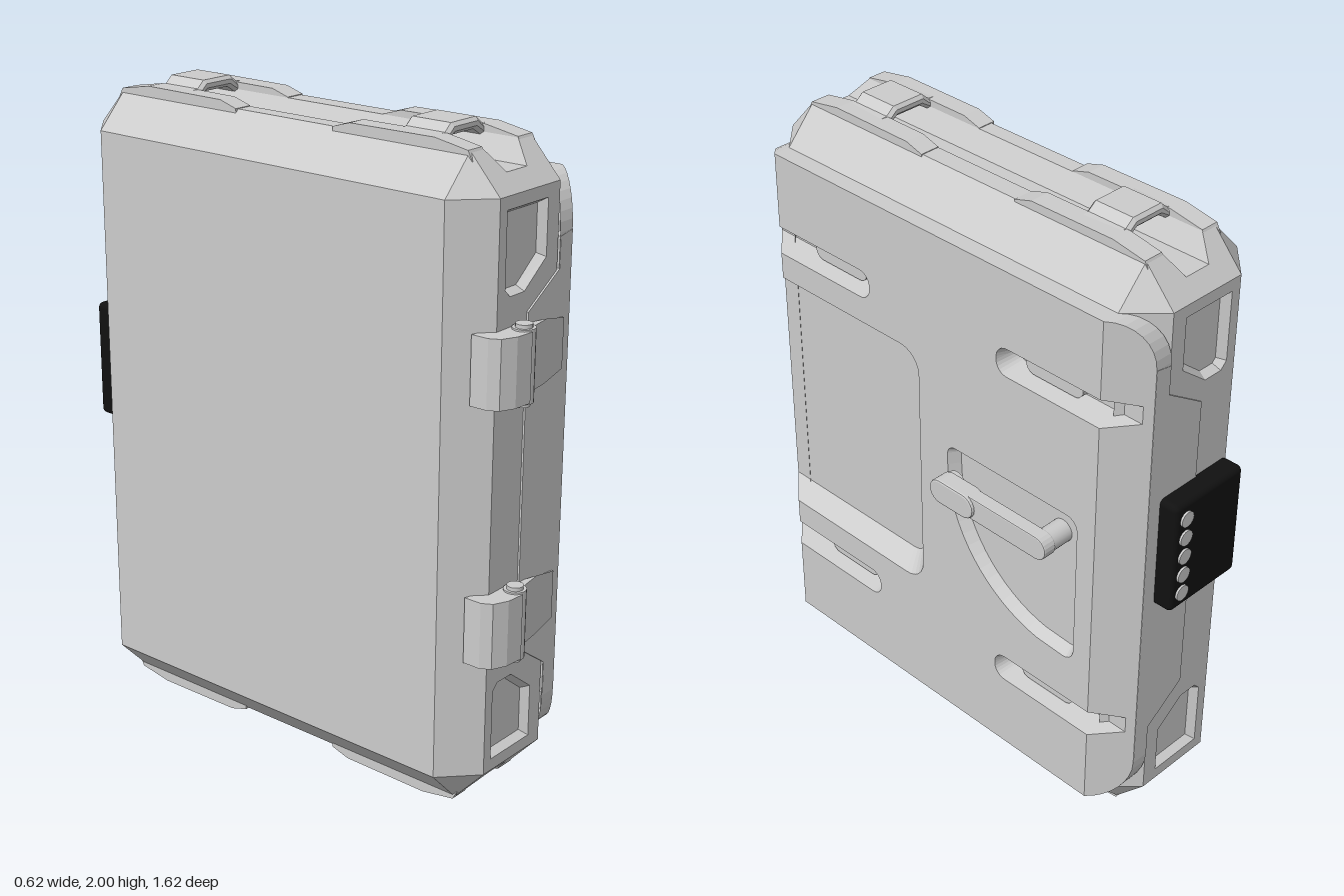
import * as THREE from 'three';
import { ConvexGeometry } from 'three/addons/geometries/ConvexGeometry.js';
import { RoundedBoxGeometry } from 'three/addons/geometries/RoundedBoxGeometry.js';

const flat = new THREE.MeshStandardMaterial({ color: 0xcccccc, flatShading: true, side: THREE.DoubleSide });
const smooth = new THREE.MeshStandardMaterial({ color: 0xcccccc });
const black = new THREE.MeshStandardMaterial({ color: 0x111111 });

const V = (x, y, z) => new THREE.Vector3(x, y, z);
const toShape = (pts) => new THREE.Shape(pts.map(([a, b]) => new THREE.Vector2(a, b)));

function add(parent, name, geo, mat = flat) {
  const mesh = new THREE.Mesh(geo, mat);
  mesh.name = name;
  parent.add(mesh);
  return mesh;
}

// Flat outline (with holes) placed in space by map(u, v)
function panel(pts, map, holes = []) {
  const s = toShape(pts);
  s.holes = holes.map(toShape);
  const geo = new THREE.ShapeGeometry(s);
  const p = geo.attributes.position;
  for (let i = 0; i < p.count; i++) {
    const v = map(p.getX(i), p.getY(i));
    p.setXYZ(i, v.x, v.y, v.z);
  }
  geo.computeVertexNormals();
  return geo;
}

// Wall between two matching rows of points
function strip(a, b, closed = false) {
  const pos = [];
  const n = closed ? a.length : a.length - 1;
  for (let i = 0; i < n; i++) {
    const j = (i + 1) % a.length;
    for (const v of [a[i], b[i], b[j], a[i], b[j], a[j]]) pos.push(v.x, v.y, v.z);
  }
  const geo = new THREE.BufferGeometry();
  geo.setAttribute('position', new THREE.Float32BufferAttribute(pos, 3));
  geo.computeVertexNormals();
  return geo;
}

// Solid with a (z, y) outline, reaching from x0 to x1
function solidX(pts, x0, x1, bevel = 0) {
  const geo = new THREE.ExtrudeGeometry(toShape(pts.map(([z, y]) => [-z, y])), {
    depth: x1 - x0 - 2 * bevel, bevelEnabled: bevel > 0, bevelSize: bevel,
    bevelOffset: -bevel, bevelThickness: bevel, bevelSegments: 2 });
  return geo.rotateY(Math.PI / 2).translate(x0 + bevel, 0, 0);
}

function arc(cx, cy, rx, ry, a0, a1, n = 8) {
  return Array.from({ length: n + 1 }, (_, i) => {
    const a = a0 + (a1 - a0) * i / n;
    return [cx + rx * Math.cos(a), cy + ry * Math.sin(a)];
  });
}
const PI = Math.PI;
const pill = (z0, z1, y, r) => [...arc(z1 - r, y, r, r, -PI / 2, PI / 2, 10), ...arc(z0 + r, y, r, r, PI / 2, PI * 1.5, 10)];

const BX0 = -0.31, BX1 = 0.165, SX0 = -0.205, SX1 = 0.065; // body and side face in x
const LO = 0.155, HI = 1.845, TOP = 1.955, ZF = 0.64, ZS = 0.74;
const FACE = 0.22;
const doorX = (z) => FACE - Math.max(0, Math.abs(z) - ZF) * 0.9;

function buildBody(root) {
  // Chamfered shell; the pierced faces are left out and added as panels
  const pts = [];
  for (const y of [0, 1]) for (const s of [1, -1]) {
    const f = (v) => (y ? v : 2 - v);
    for (const x of [BX0, BX1]) pts.push(V(x, f(HI), s * ZF));
    for (const x of [SX0, SX1]) pts.push(V(x, f(HI), s * ZS), V(x, f(TOP), s * ZF));
  }
  const hull = new ConvexGeometry(pts);
  const p = hull.attributes.position, n = hull.attributes.normal, keep = [];
  for (let i = 0; i < p.count; i++) {
    const nx = n.getX(i);
    if (Math.abs(nx) > 0.1 && nx < 0.99) keep.push(p.getX(i), p.getY(i), p.getZ(i));
  }
  const shell = new THREE.BufferGeometry();
  shell.setAttribute('position', new THREE.Float32BufferAttribute(keep, 3));
  shell.computeVertexNormals();
  add(root, 'bodyShell', shell);

  // Narrow sides with corner pockets and the overlapping door skirt
  const rim = [[-0.172, 1.808], [0.012, 1.808], [0.012, 1.645], [-0.085, 1.57], [-0.15, 1.57], [-0.172, 1.592]];
  const floor = [[-0.155, 1.793], [-0.002, 1.793], [-0.002, 1.655], [-0.09, 1.585], [-0.143, 1.585], [-0.155, 1.598]];
  const flip = (pts) => pts.map(([x, y]) => [x, 2 - y]);
  const skirt = [[0.125, 0.3], [0.07, 0.31], [0.07, 0.41], [-0.07, 0.51], [-0.07, 1.51], [0.07, 1.6], [0.07, 1.69], [0.125, 1.7]];
  for (const s of [1, -1]) {
    const at = (z) => (x, y) => V(x, y, s * z);
    add(root, 'sideFace', panel([[SX0, LO], [SX1, LO], [SX1, HI], [SX0, HI]], at(ZS), [rim, flip(rim)]));
    for (const f of [(q) => q, flip]) {
      add(root, 'cornerPocketWall', strip(f(rim).map((q) => at(ZS)(...q)), f(floor).map((q) => at(ZS - 0.025)(...q)), true));
      add(root, 'cornerPocketFloor', panel(f(floor), at(ZS - 0.025)));
    }
    const geo = new THREE.ExtrudeGeometry(toShape(skirt), { depth: 0.025, bevelEnabled: false });
    add(root, 'doorSkirt', geo.translate(0, 0, s > 0 ? 0.721 : -0.746));
  }
}

// Channelled end with rails and straps; used on top and mirrored below
function buildEnd() {
  const g = new THREE.Group();
  const chamferZ = (y) => ZF + (TOP - y) * (ZS - ZF) / (TOP - HI);
  const groove = [[-0.155, TOP], [-0.12, 1.893], [-0.03, 1.893], [0.005, TOP]];
  for (const [a, b] of [[SX0, -0.155], [0.005, SX1]])
    add(g, 'endFace', panel([[a, -ZF], [b, -ZF], [b, ZF], [a, ZF]], (x, z) => V(x, TOP, z)));
  for (const s of [1, -1])
    add(g, 'endChamfer', panel([[SX0, HI], [SX1, HI], [SX1, TOP], ...[...groove].reverse(), [SX0, TOP]],
      (x, y) => V(x, y, s * chamferZ(y))));
  const row = (s) => groove.map(([x, y]) => V(x, y, s * chamferZ(y)));
  add(g, 'channel', strip(row(1), row(-1)));

  const strap = [[-0.215, 1.925], [-0.215, 1.972], [-0.155, 1.978], [-0.13, 2], [-0.02, 2], [0.008, 1.978],
    [0.07, 1.972], [0.07, 1.925], [0.005, 1.945], [-0.03, 1.967], [-0.12, 1.967], [-0.155, 1.945]];
  for (const s of [1, -1]) {
    const rail = [[0.655, 1.93], [0.64, 1.958], [0.53, 1.977], [0.24, 1.975], [0.18, 1.957], [0.18, 1.93]].map(([z, y]) => [s * z, y]);
    add(g, 'rail', solidX(rail, -0.215, -0.155));
    add(g, 'rail', solidX(rail, 0.005, 0.07));
    const geo = new THREE.ExtrudeGeometry(toShape(strap), { depth: 0.13, bevelSize: 0.01, bevelOffset: -0.01, bevelThickness: 0.01, bevelSegments: 1 });
    add(g, 'strap', geo.translate(0, 0, s * 0.453 - 0.065));
  }
  return g;
}

// Recess outline open toward the door's edge on side s
function inlet(s, y, h, end, r, z0) {
  return [[z0, y - h], ...arc(end + r, y - h + r, r, r, PI * 1.5, PI, 6),
    ...arc(end + r, y + h - r, r, r, PI, PI / 2, 6), [z0, y + h]].map(([z, v]) => [s * z, v]);
}

function buildDoor(root) {
  const door = new THREE.Group();
  door.name = 'door';
  root.add(door);
  const at = (x) => (z, y) => V(x, y, z);
  const onDoor = (z, y) => V(doorX(z), y, z);

  // Open recesses: s, centre y, half height, inner end, radius, slope inset, depth
  const specs = [[1, 0.455, 0.045, 0.25, 0.04, 0.017, 0.075], [1, 1.008, 0.422, 0.05, 0.075, 0.05, 0.06],
    [1, 1.56, 0.045, 0.25, 0.04, 0.017, 0.075], [-1, 0.455, 0.045, 0.26, 0.04, 0.017, 0.075], [-1, 1.56, 0.045, 0.26, 0.04, 0.017, 0.075]];
  const recesses = specs.map(([s, y, h, end, r, inset, depth]) => {
    const zFloor = ZF + depth / 0.9;
    const rim = inlet(s, y, h, end, r, ZF);
    const floor = inlet(s, y, h - inset, end + inset, r - inset * 0.5, zFloor);
    add(door, 'recessWall', strip(rim.map((q) => at(FACE)(...q)), floor.map((q) => at(FACE - depth)(...q))));
    add(door, 'recessFloor', panel(floor, at(FACE - depth)));
    if (h < 0.1) add(door, 'slotInsert', solidX(s > 0 ? pill(0.31, 0.53, y, 0.03) : pill(-0.54, -0.33, y, 0.03), 0.14, 0.175));
    return { s, rim, notch: [rim[0], floor[0], floor[floor.length - 1], rim[rim.length - 1]] };
  });
  const side = (s, key) => recesses.filter((r) => r.s === s).flatMap((r) => r[key]);

  // Quarter-round recess behind the handle
  const quarter = (d) => [...arc(-0.535, 1.13, 0.04 - d, 0.04 - d, PI / 2, PI, 5), ...arc(-0.535, 0.695, 0.04 - d, 0.04 - d, PI, PI * 1.5, 5),
    ...arc(-0.5, 1.1, 0.435 - d, 0.445 - d, PI * 1.55, PI * 2, 16), ...arc(-0.095, 1.14, 0.03 - d, 0.03 - d, 0, PI / 2, 5)];
  const rim = quarter(0), floor = quarter(0.022);
  add(door, 'handleRecessWall', strip(rim.map((q) => at(FACE)(...q)), floor.map((q) => at(FACE - 0.035)(...q)), true));
  add(door, 'handleRecessFloor', panel(floor, at(FACE - 0.035)));

  add(door, 'doorFace', panel([[ZF, LO], ...side(1, 'rim'), [ZF, HI], [-ZF, HI], ...side(-1, 'rim').reverse(), [-ZF, LO]], at(FACE), [rim]));

  // Sloped door edges with rounded corners
  const edge = [...arc(ZF, 0.3, 0.105, 0.3 - LO, -PI / 2, 0), ...arc(ZF, 1.7, 0.105, HI - 1.7, 0, PI / 2)];
  for (const s of [1, -1])
    add(door, 'doorSlope', panel([...edge.map(([z, y]) => [s * z, y]), ...side(s, 'notch').reverse()], onDoor));
  const loop = [...edge, ...edge.map(([z, y]) => [-z, 2 - y])];
  const outer = loop.map((q) => onDoor(...q));
  add(door, 'doorEdge', strip(outer, outer.map((v) => V(v.x - 0.058, v.y, v.z)), true));

  // Handle
  const handle = new THREE.Group();
  handle.name = 'handle';
  door.add(handle);
  add(handle, 'handleBar', solidX(pill(-0.53, -0.08, 1.075, 0.038), 0.255, 0.3, 0.004));
  add(handle, 'handleGrip', solidX(pill(-0.255, -0.08, 1.075, 0.04), 0.25, 0.31, 0.006));
  add(handle, 'handleTip', solidX(pill(-0.155, -0.085, 1.075, 0.035), 0.235, 0.26));
  add(handle, 'handlePost', new THREE.CylinderGeometry(0.036, 0.036, 0.1, 24).rotateZ(PI / 2).translate(0.225, 1.075, -0.49), smooth);
}

// Hinge on the +z side
function buildHinge(y) {
  const g = new THREE.Group();
  g.name = 'hinge';
  const profile = [[-0.262, 0.7], [-0.262, 0.755], [-0.245, 0.785], [-0.2, 0.805], [-0.14, 0.81], [-0.14, 0.73]];
  const leafProfile = [[-0.14, 0.72], [-0.14, 0.79], [-0.09, 0.772], [0.0, 0.758], [0.09, 0.753], [0.09, 0.72]];
  const extrudeY = (pts, h) => new THREE.ExtrudeGeometry(toShape(pts), { depth: h, bevelEnabled: false }).rotateX(PI / 2).translate(0, h / 2, 0);
  add(g, 'hingeBase', extrudeY(profile, 0.2));
  // Leaf tapers at its free end
  const leaf = add(g, 'hingeLeaf', extrudeY(leafProfile, 0.185)).geometry.attributes.position;
  for (let i = 0; i < leaf.count; i++) if (leaf.getX(i) > 0.05) leaf.setY(i, leaf.getY(i) * 0.8);
  add(g, 'hingeBarrel', new THREE.CylinderGeometry(0.033, 0.033, 0.21, 20).translate(-0.13, 0, 0.775), smooth);
  add(g, 'hingePin', new THREE.CylinderGeometry(0.024, 0.024, 0.232, 20).translate(-0.13, 0, 0.775), smooth);
  g.position.y = y;
  return g;
}

export function createModel() {
  const root = new THREE.Group();
  root.name = 'lockableCase';
  buildBody(root);
  const top = buildEnd(), bottom = buildEnd();
  top.name = 'topEnd';
  bottom.name = 'bottomEnd';
  bottom.scale.y = -1;
  bottom.position.y = 2;
  root.add(top, bottom);
  buildDoor(root);
  root.add(buildHinge(1.385), buildHinge(0.623));
  // Keypad lock on the -z side
  add(root, 'lockPlate', new RoundedBoxGeometry(0.285, 0.37, 0.075, 3, 0.018), black).position.set(-0.063, 1.075, -0.768);
  for (let i = -2; i <= 2; i++)
    add(root, 'lockButton', new THREE.CylinderGeometry(0.025, 0.025, 0.03, 20).rotateX(PI / 2).translate(0.035, 1.075 + i * 0.065, -0.797), smooth);
  return root;
}
